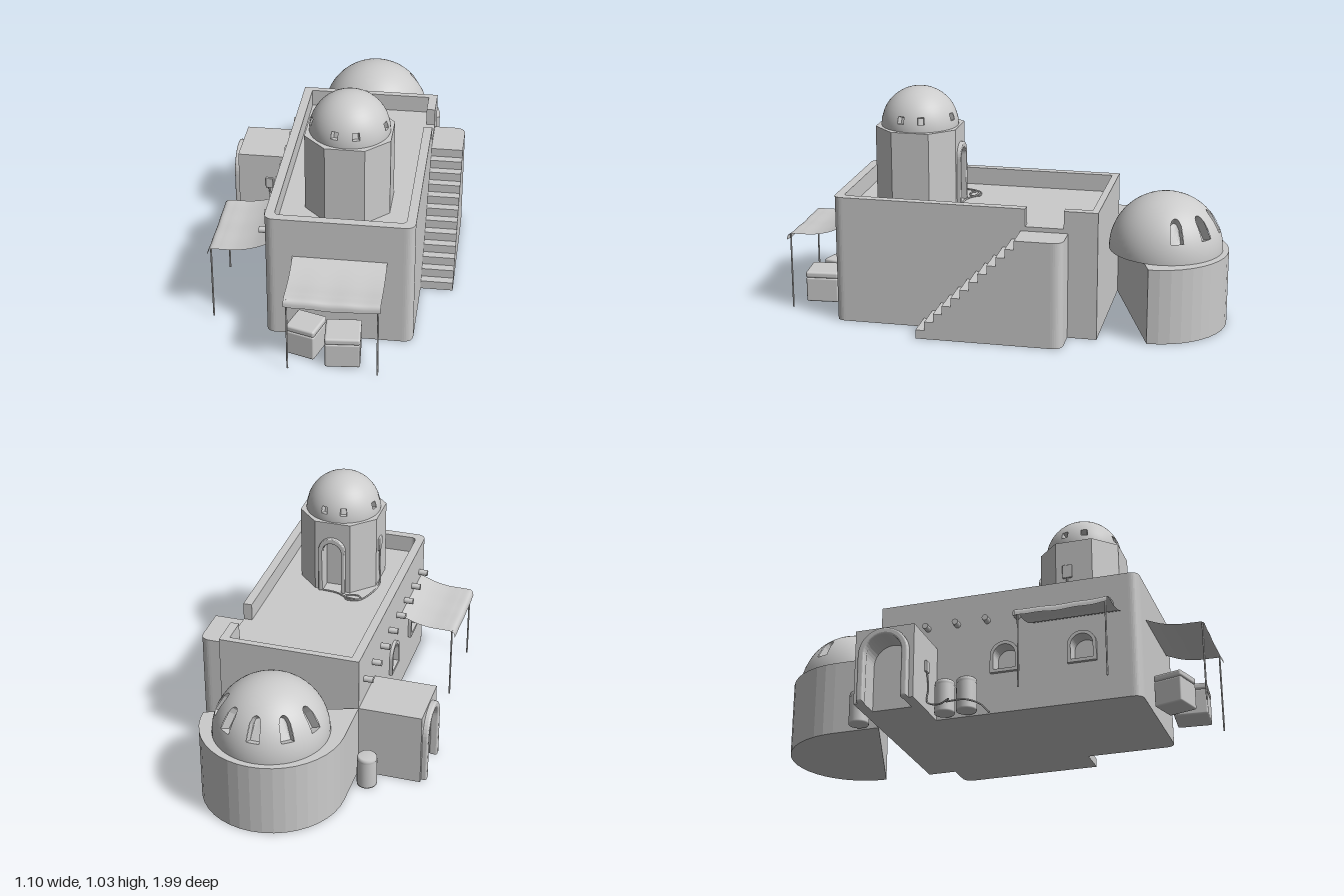
import * as THREE from 'three';
import { RoundedBoxGeometry } from 'three/addons/geometries/RoundedBoxGeometry.js';
import { ParametricGeometry } from 'three/addons/geometries/ParametricGeometry.js';

const grey = new THREE.MeshStandardMaterial({ color: 0xcccccc });
const thin = new THREE.MeshStandardMaterial({ color: 0xcccccc, side: THREE.DoubleSide });

export function createModel() {
  const root = new THREE.Group();
  const add = (name, geo, x = 0, y = 0, z = 0, ry = 0, mat = grey, parent = root) => {
    const m = new THREE.Mesh(geo, mat);
    m.name = name;
    m.position.set(x, y, z);
    m.rotation.y = ry;
    parent.add(m);
    return m;
  };
  const extrude = (shape, depth, bevel = 0) => new THREE.ExtrudeGeometry(shape, {
    depth, curveSegments: 10, bevelEnabled: bevel > 0, bevelSize: bevel, bevelThickness: bevel, bevelOffset: -bevel, bevelSegments: 3 });

  // Plan outline from [x, z, cornerRadius] points
  const plan = (pts) => {
    const s = new THREE.Shape(), v = pts.map(p => new THREE.Vector2(p[0], -p[1])), n = v.length;
    v.forEach((p, i) => {
      const r = pts[i][2] || 0;
      const toward = q => q.clone().sub(p).setLength(r).add(p);
      const a = toward(v[(i + n - 1) % n]), b = toward(v[(i + 1) % n]);
      if (i === 0) s.moveTo(a.x, a.y); else s.lineTo(a.x, a.y);
      if (r) s.quadraticCurveTo(p.x, p.y, b.x, b.y);
    });
    return s;
  };
  const slab = (name, shape, y, h, x = 0, z = 0) => add(name, extrude(shape, h).rotateX(-Math.PI / 2), x, y, z);

  // Arch outlines and the wall plates and frames cut by them
  const arch = (path, c, y, hw, h) => {
    path.moveTo(c - hw, y);
    path.lineTo(c + hw, y);
    path.lineTo(c + hw, y + h - hw);
    path.absarc(c, y + h - hw, hw, 0, Math.PI, false);
    path.lineTo(c - hw, y);
    return path;
  };
  const opening = (s, hw, h) => {
    s.lineTo(-hw, 0);
    s.lineTo(-hw, h - hw);
    s.absarc(0, h - hw, hw, Math.PI, 0, true);
    s.lineTo(hw, 0);
  };
  const doorPlate = (w, H, hw, h) => {
    const s = new THREE.Shape().moveTo(-w, H).lineTo(-w, 0);
    opening(s, hw, h);
    return s.lineTo(w, 0).lineTo(w, H);
  };
  const doorFrame = (ow, oh, hw, h) => {
    const s = new THREE.Shape().moveTo(-ow, 0);
    opening(s, hw, h);
    s.lineTo(ow, 0);
    s.lineTo(ow, oh - ow);
    s.absarc(0, oh - ow, ow, 0, Math.PI, false);
    return s;
  };
  const WEST = -Math.PI / 2;

  // Main hall: solid core, side wall with arched windows, parapet with a gap
  slab('hallCore', plan([[0.4, -0.46], [0.4, 0.73, 0.045], [-0.24, 0.73, 0.045], [-0.24, 0.68], [-0.18, 0.68], [-0.18, -0.46]]), 0, 0.5);
  const wall = new THREE.Shape().moveTo(-0.46, 0).lineTo(0.68, 0).lineTo(0.68, 0.5).lineTo(-0.46, 0.5);
  for (const z of [0.125, 0.475]) {
    wall.holes.push(arch(new THREE.Path(), z, 0.2, 0.05, 0.115));
    const ring = arch(new THREE.Shape(), 0, 0, 0.065, 0.145);
    ring.holes.push(arch(new THREE.Path(), 0, 0.015, 0.05, 0.115));
    add('windowFrame', extrude(ring, 0.015), -0.24, 0.185, z, WEST);
  }
  add('sideWall', extrude(wall, 0.06), -0.18, 0, 0, WEST);
  slab('parapet', plan([[0.4, -0.14], [0.4, 0.73, 0.045], [-0.24, 0.73, 0.045], [-0.24, -0.46], [0.4, -0.46], [0.4, -0.31],
    [0.36, -0.31], [0.36, -0.43], [-0.2, -0.43], [-0.2, 0.69, 0.025], [0.36, 0.69, 0.025], [0.36, -0.14]]), 0.5, 0.08);

  // Drain stubs along the side wall
  for (let i = 0; i < 8; i++)
    add('drainSpout', new THREE.CylinderGeometry(0.014, 0.014, 0.06, 12).rotateZ(Math.PI / 2), -0.252, 0.443, -0.375 + i * 0.14);

  // Outside stair and landing
  const steps = new THREE.Shape().moveTo(-0.12, 0).lineTo(0.32, 0);
  for (let i = 0; i < 11; i++) steps.lineTo(0.32 - i * 0.04, (i + 1) * 0.04).lineTo(0.28 - i * 0.04, (i + 1) * 0.04);
  add('stairs', extrude(steps, 0.145), 0.545, 0, 0, WEST);
  slab('stairLanding', plan([[0.4, -0.12], [0.545, -0.12], [0.545, -0.33, 0.05], [0.4, -0.33]]), 0, 0.48);

  // Rounded rear wing
  const apse = new THREE.Shape().moveTo(0.4, 0.46);
  apse.absarc(0.08, 0.68, 0.32, 0, Math.PI, false);
  apse.lineTo(-0.24, 0.46);
  slab('rearWing', apse, 0, 0.34);

  // Dome grid whose columns follow the window outlines, with recessed niches
  const dome = (name, r, wins, hw, e0, e1, eTop, x, y, z) => {
    const cols = [], N = 8, start = wins[0] - hw, end = start + Math.PI * 2;
    wins.forEach((w, i) => {
      for (let k = 0; k <= N; k++) {
        const t = 2 * k / N - 1;
        cols.push({ az: w + hw * t, top: e1 + (eTop - e1) * Math.sqrt(1 - t * t), open: k < N, first: k === 0, last: k === N - 1 });
      }
      const a = w + hw, b = i + 1 < wins.length ? wins[i + 1] - hw : end, n = Math.ceil((b - a) / 0.11);
      for (let k = 1; k < n; k++) cols.push({ az: a + (b - a) * k / n, top: e1 });
    });
    cols.push({ az: end, top: e1 });
    const pt = (c, e, q = r) => [Math.sin(c.az) * Math.cos(e) * q, Math.sin(e) * q, Math.cos(c.az) * Math.cos(e) * q];
    const rows = c => Array.from({ length: 18 }, (_, j) => j < 4 ? e0 * j / 4
      : j < 8 ? e0 + (c.top - e0) * (j - 4) / 4 : c.top + (Math.PI / 2 - c.top) * (j - 8) / 9);
    const shell = [], niche = [], s = r * 0.84;
    const quad = (out, a, b, c, d) => out.push(...a, ...b, ...c, ...a, ...c, ...d);
    for (let i = 0; i + 1 < cols.length; i++) {
      const a = cols[i], b = cols[i + 1], ra = rows(a), rb = rows(b);
      for (let j = 0; j < 17; j++)
        if (!(a.open && j >= 4 && j < 8)) quad(shell, pt(a, ra[j]), pt(b, rb[j]), pt(b, rb[j + 1]), pt(a, ra[j + 1]));
      if (!a.open) continue;
      quad(niche, pt(a, e0, s), pt(b, e0, s), pt(b, b.top, s), pt(a, a.top, s));
      quad(niche, pt(a, e0), pt(b, e0), pt(b, e0, s), pt(a, e0, s));
      quad(niche, pt(a, a.top, s), pt(b, b.top, s), pt(b, b.top), pt(a, a.top));
      if (a.first) quad(niche, pt(a, e0), pt(a, e0, s), pt(a, a.top, s), pt(a, a.top));
      if (a.last) quad(niche, pt(b, e0, s), pt(b, e0), pt(b, b.top), pt(b, b.top, s));
    }
    const make = list => new THREE.BufferGeometry().setAttribute('position', new THREE.Float32BufferAttribute(list, 3));
    const g = make(shell);
    g.setAttribute('normal', new THREE.Float32BufferAttribute(shell.map(v => v / r), 3));
    add(name, g, x, y, z);
    const f = make(niche);
    f.computeVertexNormals();
    add(name + 'Windows', f, x, y, z, 0, thin);
  };
  const deg = Math.PI / 180;
  dome('rearDome', 0.255, [108, 144, 180, 216, 252].map(a => a * deg), 0.12, 0.36, 0.68, 0.82, 0.075, 0.34, -0.718);
  dome('towerDome', 0.174, [-16, 16, 74, 106, 164, 196, 254, 286].map(a => a * deg), 0.09, 0.2, 0.39, 0.39, 0.086, 0.855, 0.407);

  // Eight-sided roof tower with an arched doorway
  const A = 0.184, B = 0.085, tx = 0.086, tz = 0.407;
  slab('tower', plan([[B, -A], [A, -B], [A, B], [B, A], [-B, A], [-A, B], [-A, -B], [-B, -A],
    [-0.06, -A], [-0.06, -A + 0.06], [0.06, -A + 0.06], [0.06, -A]]), 0.5, 0.355, tx, tz);
  add('towerDoorway', extrude(doorPlate(0.06, 0.355, 0.045, 0.25), 0.06), tx, 0.5, tz - A + 0.06, Math.PI);
  add('towerDoorFrame', extrude(doorFrame(0.064, 0.28, 0.045, 0.255), 0.014, 0.004), tx, 0.5, tz - A, Math.PI);

  // Side porch with a deep arched door
  add('porch', new THREE.BoxGeometry(0.18, 0.34, 0.27), -0.33, 0.17, -0.325);
  add('porchDoorway', extrude(doorPlate(0.135, 0.34, 0.09, 0.3), 0.105), -0.42, 0, -0.325, WEST);
  add('porchDoorFrame', extrude(doorFrame(0.115, 0.33, 0.085, 0.3), 0.022, 0.008), -0.52, 0, -0.325, WEST);

  // Cloth awnings on two poles each
  const profile = new THREE.CatmullRomCurve3([[0, 0.402], [0.07, 0.374], [0.14, 0.36], [0.21, 0.358], [0.25, 0.355], [0.26, 0.345], [0.264, 0.325]]
    .map(p => new THREE.Vector3(0, p[1], p[0])));
  const awning = (x, z, ry) => {
    const g = new THREE.Group();
    g.name = 'awning';
    g.position.set(x, 0, z);
    g.rotation.y = ry;
    root.add(g);
    const cloth = new ParametricGeometry((u, v, t) => {
      profile.getPoint(v, t);
      t.x = (u - 0.5) * 0.405;
      t.y -= v * (0.007 * Math.sin(Math.PI * u) + 0.002 * Math.sin(u * 17));
    }, 20, 28);
    add('awningCloth', cloth, 0, 0, 0, 0, thin, g);
    for (const s of [-1, 1]) add('awningPole', new THREE.CylinderGeometry(0.004, 0.004, 0.355, 8), s * 0.191, 0.1775, 0.248, 0, grey, g);
  };
  awning(0.084, 0.728, 0);
  awning(-0.24, 0.453, WEST);

  // Lidded crates under the front awning
  const crate = (x, z, w, ry) => {
    add('crate', new RoundedBoxGeometry(w, 0.116, w, 3, 0.008), x, 0.058, z, ry);
    add('crateLid', new RoundedBoxGeometry(w + 0.003, 0.03, w + 0.003, 3, 0.01), x, 0.13, z, ry);
  };
  crate(-0.048, 0.83, 0.132, -0.3);
  crate(0.117, 0.87, 0.15, 0.08);

  // Barrels
  const barrel = [[0, 0], [0.044, 0], [0.045, 0.008], [0.045, 0.125], [0.042, 0.128], [0.045, 0.132], [0.044, 0.143], [0.038, 0.15], [0, 0.15]];
  for (const z of [-0.53, -0.13, -0.03])
    add('barrel', new THREE.LatheGeometry(barrel.map(p => new THREE.Vector2(...p)), 24), -0.3, 0, z);

  // Wall boxes and their loose cables
  const cable = pts => add('cable', new THREE.TubeGeometry(
    new THREE.CatmullRomCurve3(pts.map(p => new THREE.Vector3(...p))), 90, 0.004, 6), 0, 0, 0);
  add('porchSwitchBox', new RoundedBoxGeometry(0.036, 0.052, 0.014, 2, 0.004), -0.377, 0.196, -0.186);
  cable([[-0.378, 0.17, -0.184], [-0.37, 0.1, -0.18], [-0.378, 0.03, -0.18], [-0.4, 0.005, -0.12], [-0.445, 0.005, -0.06],
    [-0.42, 0.005, -0.08], [-0.42, 0.005, 0], [-0.36, 0.005, 0.045], [-0.25, 0.005, 0.055]]);
  add('towerSwitchBox', new RoundedBoxGeometry(0.014, 0.065, 0.045, 2, 0.004), -0.1, 0.703, 0.376);
  cable([[-0.102, 0.672, 0.376], [-0.103, 0.6, 0.37], [-0.11, 0.506, 0.345], [-0.1, 0.505, 0.25], [-0.06, 0.505, 0.165], [0, 0.505, 0.155],
    [0.01, 0.505, 0.19], [-0.05, 0.505, 0.2], [-0.065, 0.505, 0.17], [0, 0.506, 0.17], [0.06, 0.505, 0.2], [0.15, 0.505, 0.21]]);
  return root;
}
